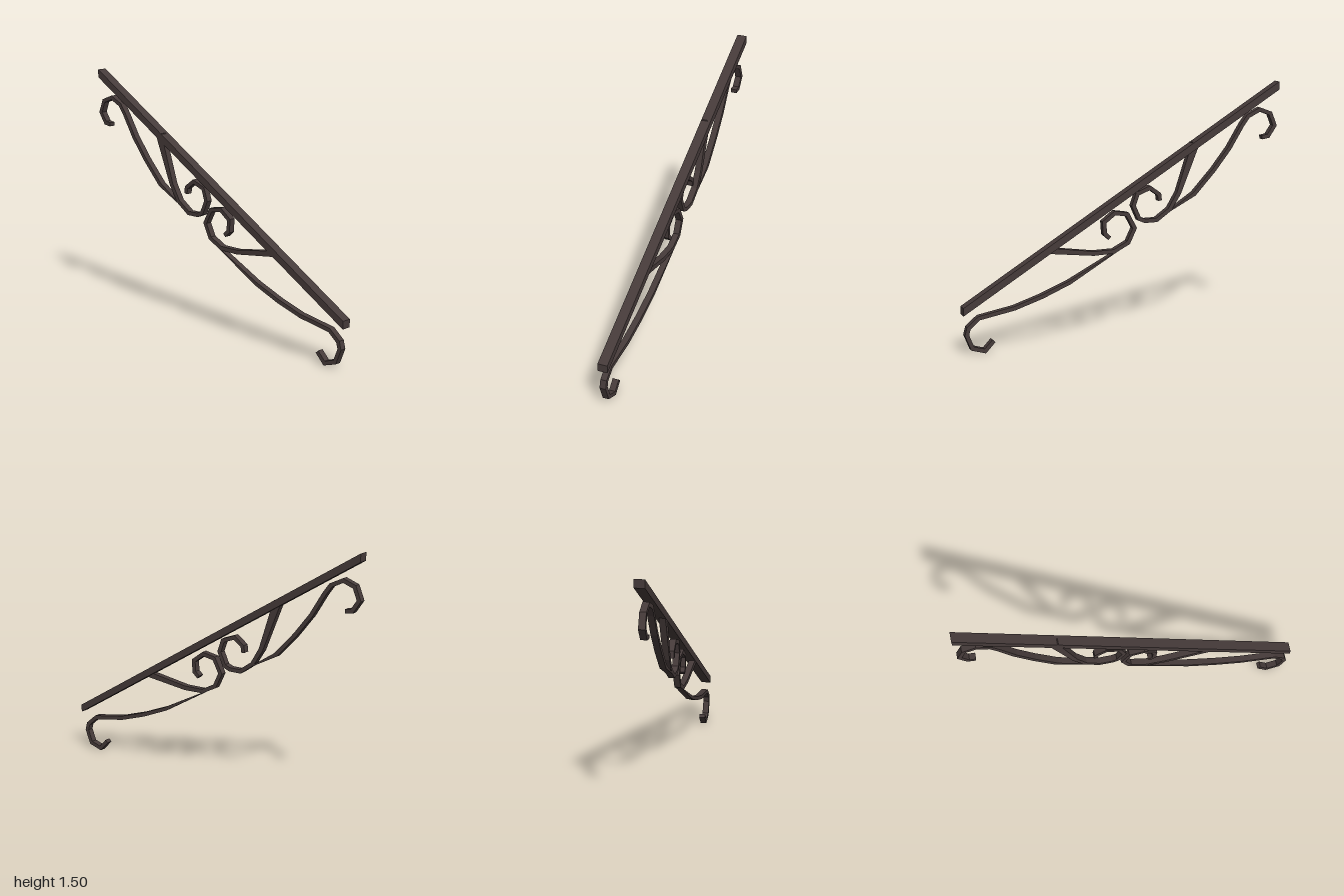
import * as THREE from 'three';

const iron = new THREE.MeshStandardMaterial({ color: 0x463b3a });
iron.name = 'dark iron';

// Flat bar following a centreline of [x, y, width] points with mitred corners
function bar(name, points, zMin, depth) {
  const left = [], right = [];
  const dir = (a, b) => new THREE.Vector2(b[0] - a[0], b[1] - a[1]).normalize();
  points.forEach((p, i) => {
    const before = dir(points[Math.max(i - 1, 0)], points[Math.max(i, 1)]);
    const last = points.length - 1;
    const after = dir(points[Math.min(i, last - 1)], points[Math.min(i + 1, last)]);
    const t = before.clone().add(after).normalize();
    const h = (p[2] ?? 0.024) / 2 / Math.max(t.dot(after), 0.5);
    left.push(new THREE.Vector2(p[0] - t.y * h, p[1] + t.x * h));
    right.push(new THREE.Vector2(p[0] + t.y * h, p[1] - t.x * h));
  });
  return extrude(name, [...left, ...right.reverse()], zMin, depth);
}

function extrude(name, outline, zMin, depth) {
  const geometry = new THREE.ExtrudeGeometry(new THREE.Shape(outline), { depth, bevelEnabled: false });
  geometry.translate(0, 0, zMin);
  const mesh = new THREE.Mesh(geometry, iron);
  mesh.name = name;
  return mesh;
}

export function createModel() {
  const group = new THREE.Group();
  group.name = 'scrollRailing';

  // Sloping rail with plumb-cut ends
  const rail = [[-1, 1.455], [1, 0.24], [1, 0.287], [-1, 1.504]].map(p => new THREE.Vector2(...p));
  group.add(extrude('rail', rail, -0.03, 0.06));

  // Scrollwork, set slightly forward of the rail centre
  const scrolls = {
    upperOuterScroll: [
      [-0.9, 1.166], [-0.942, 1.172], [-0.985, 1.235], [-0.955, 1.31], [-0.883, 1.337], [-0.805, 1.3],
      [-0.765, 1.246], [-0.682, 1.112], [-0.58, 0.984], [-0.452, 0.847], [-0.27, 0.742, 0.003]],
    upperInnerScroll: [
      [-0.457, 1.155, 0.05], [-0.35, 0.861, 0.028], [-0.291, 0.765], [-0.206, 0.706], [-0.131, 0.706],
      [-0.094, 0.722], [-0.058, 0.802], [-0.083, 0.874], [-0.163, 0.904], [-0.222, 0.861], [-0.227, 0.823]],
    lowerInnerScroll: [
      [0.48, 0.575, 0.034], [0.195, 0.535, 0.026], [0.067, 0.537], [-0.024, 0.583], [-0.065, 0.668],
      [-0.019, 0.754], [0.061, 0.768], [0.129, 0.717], [0.124, 0.647], [0.094, 0.62]],
    lowerOuterScroll: [
      [0.035, 0.542, 0.003], [0.345, 0.374, 0.022], [0.516, 0.305], [0.687, 0.251], [0.901, 0.214],
      [0.965, 0.16], [0.976, 0.118], [0.944, 0.037], [0.869, 0.014], [0.816, 0.07]],
  };
  for (const [name, points] of Object.entries(scrolls)) group.add(bar(name, points, -0.01, 0.038));
  return group;
}
